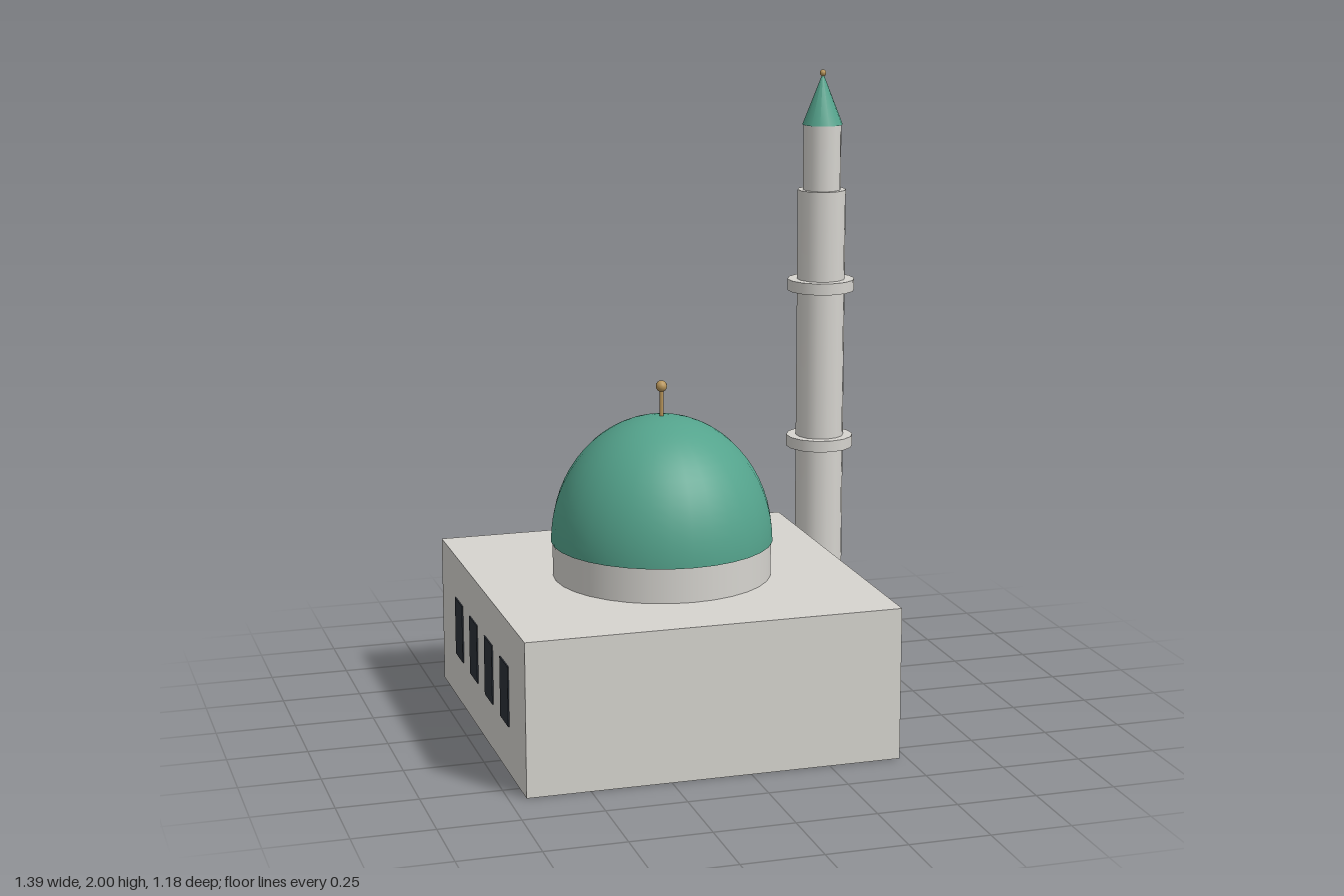
import * as THREE from 'three';

const mat = (color) => new THREE.MeshStandardMaterial({ color });
const stone = mat(0xd6d4cf), green = mat(0x54a38c), dark = mat(0x2b3038), gold = mat(0xb8955a);

export function createModel() {
  const model = new THREE.Group();

  const add = (parent, name, geometry, material, x, y, z) => {
    const mesh = new THREE.Mesh(geometry, material);
    mesh.name = name;
    mesh.position.set(x, y, z);
    parent.add(mesh);
    return mesh;
  };
  // Upright cylinder given by its bottom and top heights
  const column = (parent, name, r, y0, y1, material, sides) =>
    add(parent, name, new THREE.CylinderGeometry(r, r, y1 - y0, sides), material, 0, (y0 + y1) / 2, 0);

  // Prayer hall: block, windows on both sides, drum and dome
  const hall = new THREE.Group();
  hall.name = 'hall';
  hall.position.x = -0.11;
  model.add(hall);

  const size = 1.174, height = 0.48;
  add(hall, 'hallBlock', new THREE.BoxGeometry(size, height, size), stone, 0, height / 2, 0);

  const windowGeometry = new THREE.BoxGeometry(0.008, 0.19, 0.107);
  for (const side of [-1, 1]) {
    for (let i = 0; i < 4; i++) {
      add(hall, 'window', windowGeometry, dark, side * size / 2, 0.245, (i - 1.5) * 0.214);
    }
  }

  column(hall, 'drum', 0.345, height, 0.595, stone, 32);
  const dome = new THREE.SphereGeometry(0.35, 32, 16, 0, Math.PI * 2, 0, Math.PI / 2);
  dome.scale(1, 1.14, 1);
  add(hall, 'dome', dome, green, 0, 0.59, 0);
  // Underside of the dome where it overhangs the drum
  add(hall, 'domeRim', new THREE.RingGeometry(0.33, 0.35, 32), green, 0, 0.59, 0).rotation.x = Math.PI / 2;
  column(hall, 'domeFinialRod', 0.007, 0.97, 1.08, gold, 8);
  add(hall, 'domeFinialBall', new THREE.SphereGeometry(0.018, 12, 8), gold, 0, 1.083, 0);

  // Minaret at the back corner
  const minaret = new THREE.Group();
  minaret.name = 'minaret';
  minaret.position.set(0.583, 0, -0.478);
  model.add(minaret);

  column(minaret, 'shaft', 0.08, 0, 1.605, stone, 14);
  for (const y of [0.735, 1.268]) column(minaret, 'balcony', 0.112, y, y + 0.038, stone, 14);
  column(minaret, 'upperShaft', 0.063, 1.605, 1.82, stone, 14);
  add(minaret, 'spire', new THREE.ConeGeometry(0.067, 0.17, 14), green, 0, 1.905, 0);
  add(minaret, 'spireBall', new THREE.SphereGeometry(0.011, 10, 8), gold, 0, 1.989, 0);

  return model;
}
